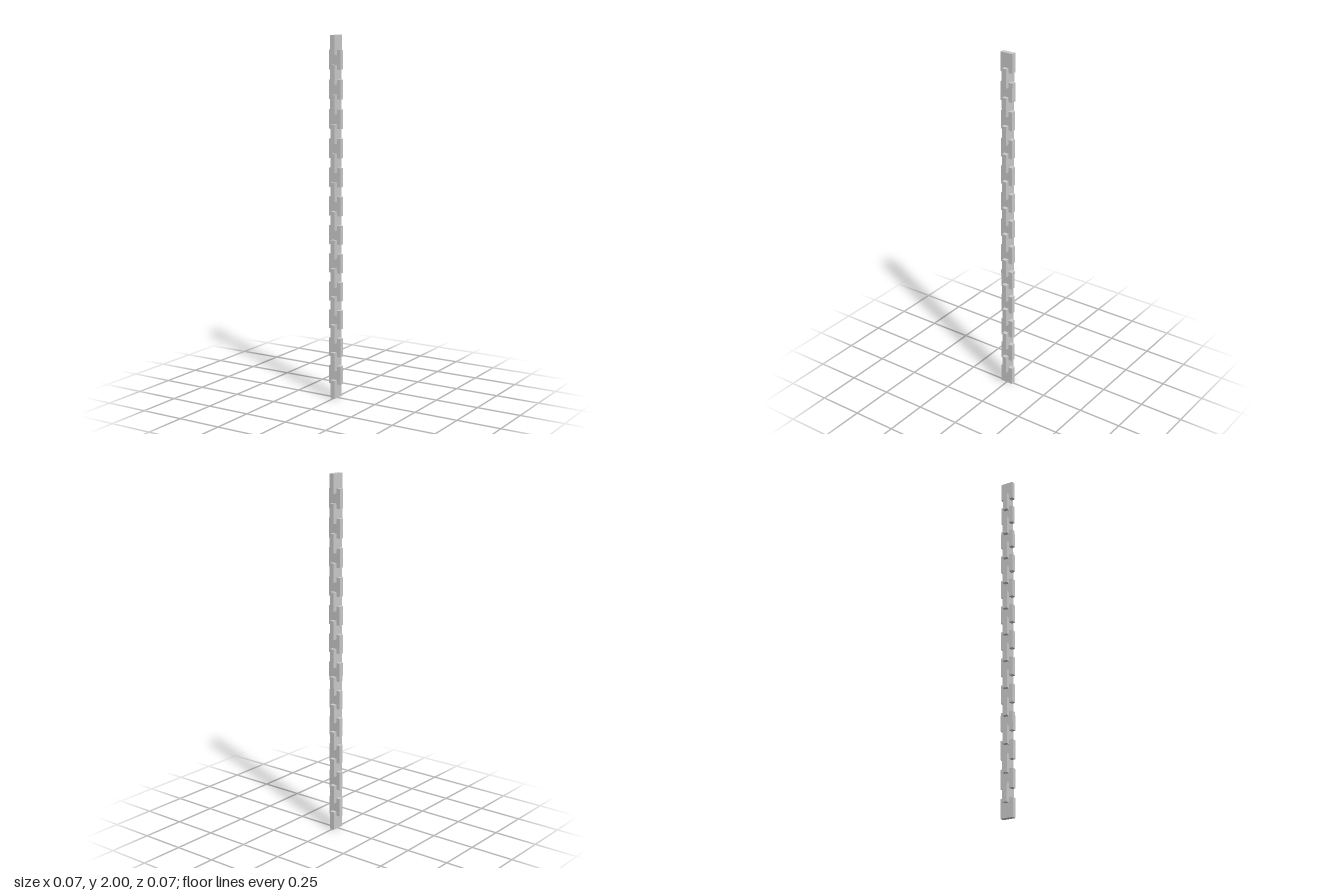
import * as THREE from 'three';

// Straight hanging chain of solid block links, each turned a quarter from the last
export function createModel() {
  const group = new THREE.Group();
  group.name = 'chain';

  const count = 25;
  const width = 0.073, height = 0.105, thickness = 0.027;
  const pitch = (2 - height) / (count - 1);

  const material = new THREE.MeshStandardMaterial({ color: 0xcccccc, flatShading: true });
  const wideInZ = new THREE.BoxGeometry(thickness, height, width);
  const wideInX = new THREE.BoxGeometry(width, height, thickness);

  // Neighbouring links overlap at their ends
  for (let i = 0; i < count; i++) {
    const link = new THREE.Mesh(i % 2 === 0 ? wideInZ : wideInX, material);
    link.name = `link${i + 1}`;
    link.position.y = height / 2 + i * pitch;
    group.add(link);
  }
  return group;
}
